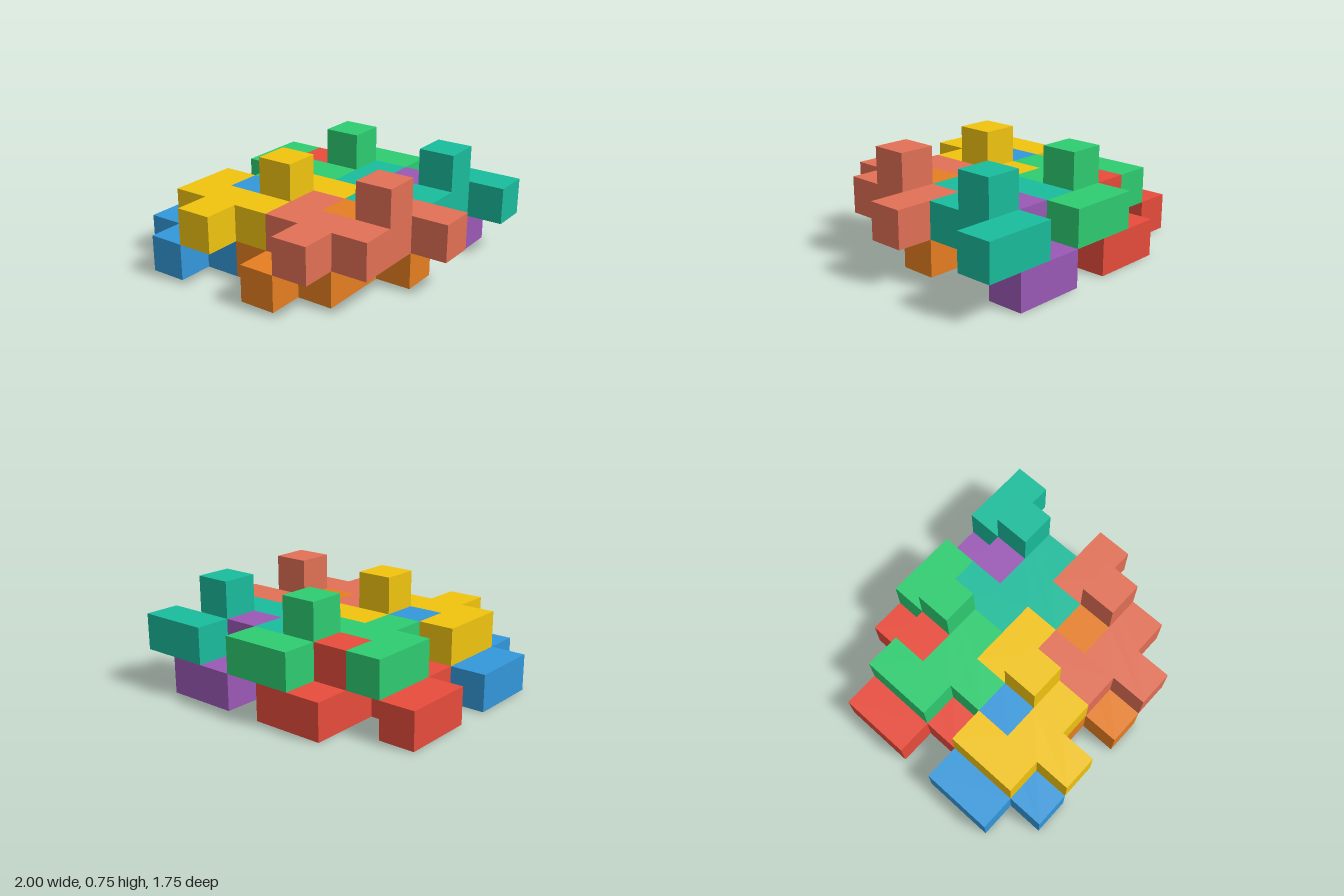
import * as THREE from 'three';

const U = 0.25; // edge of one unit cube

// Outline of the flat part of a piece, in unit cells (column, row)
const OUTLINE = [
  [2, 0], [4, 0], [4, 1], [3, 1], [3, 3], [2, 3], [2, 4],
  [1, 4], [1, 3], [0, 3], [0, 1], [1, 1], [1, 2], [2, 2],
];

// Pieces: name, color, column, row, layer
const PIECES = [
  ['redPiece', 0xe74c3c, 0, 0, 0],
  ['purplePiece', 0x9b59b6, 3, 0, 0],
  ['bluePiece', 0x3498db, 0, 3, 0],
  ['orangePiece', 0xe67e22, 3, 3, 0],
  ['greenPiece', 0x2ecc71, 1, 0, 1],
  ['tealPiece', 0x1abc9c, 4, 0, 1],
  ['yellowPiece', 0xf1c40f, 1, 3, 1],
  ['salmonPiece', 0xe17055, 4, 3, 1],
];

// Flat slab, its top corner cell at the local origin, standing on y = 0
function slabGeometry() {
  const shape = new THREE.Shape(OUTLINE.map(([c, r]) => new THREE.Vector2(c * U, r * U)));
  const geometry = new THREE.ExtrudeGeometry(shape, { depth: U, bevelEnabled: false });
  return geometry.rotateX(Math.PI / 2).translate(0, U, 0);
}

export function createModel() {
  const model = new THREE.Group();
  model.name = 'interlockingCubePuzzle';
  const slab = slabGeometry();
  // Single cube on top of the slab; it fills the notch of the piece above
  const cube = new THREE.BoxGeometry(U, U, U).translate(2.5 * U, 1.5 * U, 1.5 * U);

  for (const [name, color, column, row, layer] of PIECES) {
    const piece = new THREE.Group();
    piece.name = name;
    const material = new THREE.MeshStandardMaterial({ color });
    const slabMesh = new THREE.Mesh(slab, material);
    slabMesh.name = 'slab';
    const cubeMesh = new THREE.Mesh(cube, material);
    cubeMesh.name = 'raisedCube';
    piece.add(slabMesh, cubeMesh);
    piece.position.set((column - 4) * U, layer * U, (row - 3.5) * U);
    model.add(piece);
  }
  return model;
}
